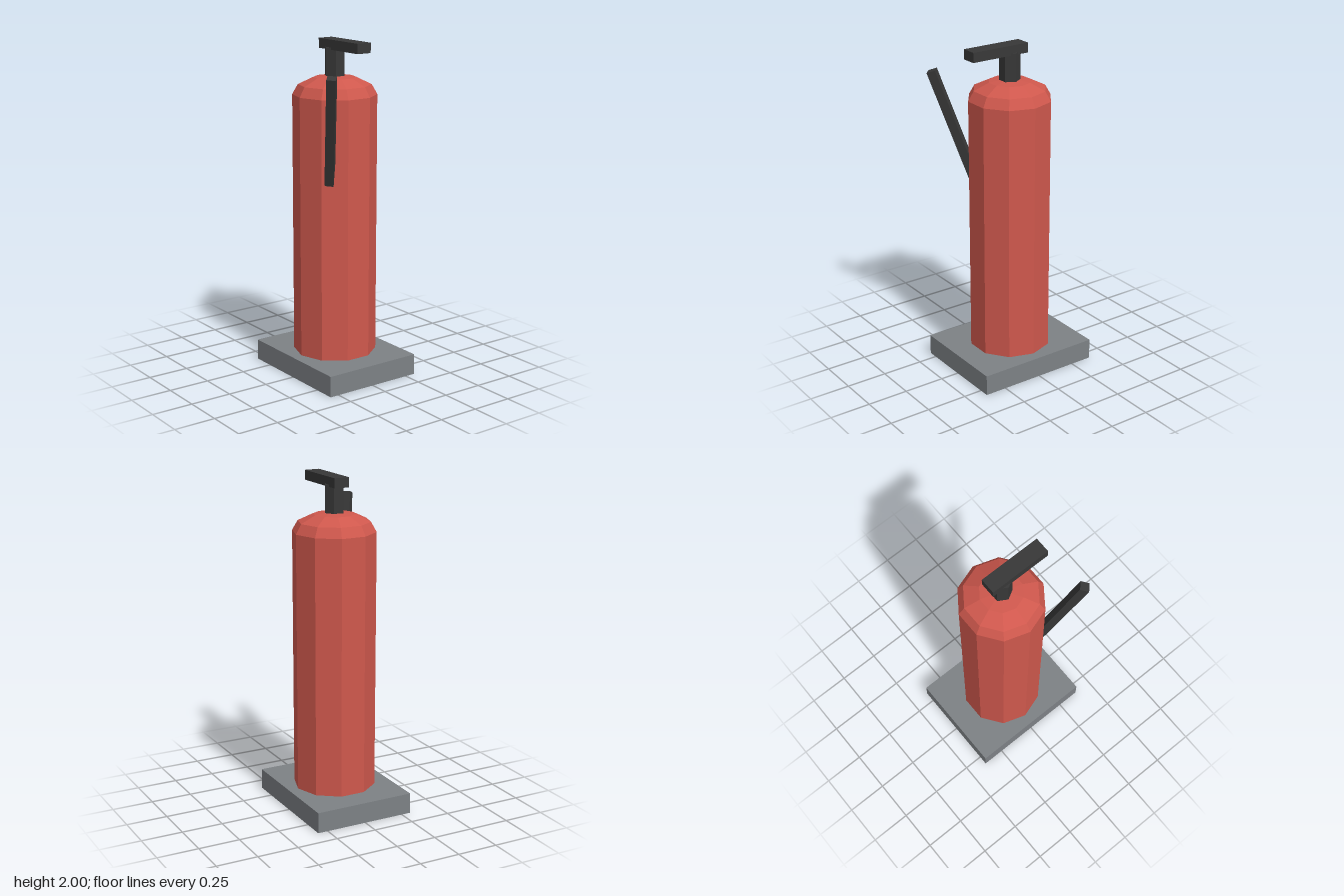
import * as THREE from 'three';

const flat = (name, color) => {
  const m = new THREE.MeshStandardMaterial({ color, flatShading: true });
  m.name = name;
  return m;
};

export function createModel() {
  const red = flat('red', 0xcf584d);
  const grey = flat('grey', 0x7d8185);
  const black = flat('black', 0x383838);

  const model = new THREE.Group();
  model.name = 'fireExtinguisher';
  const add = (name, geometry, material, x, y, z) => {
    const mesh = new THREE.Mesh(geometry, material);
    mesh.name = name;
    mesh.position.set(x, y, z);
    model.add(mesh);
    return mesh;
  };

  // Floor plate
  add('base', new THREE.BoxGeometry(0.77, 0.125, 0.619), grey, 0, 0.0625, -0.003);

  // Ten-sided tank with a flattened dome in three rings
  const R = 0.247, shoulder = 1.68, rise = 0.116;
  const profile = [new THREE.Vector2(0, 0.12), new THREE.Vector2(R, 0.12)];
  for (let i = 0; i <= 3; i++) {
    const a = (i * Math.PI) / 6;
    profile.push(new THREE.Vector2(i === 3 ? 0 : R * Math.cos(a), shoulder + rise * Math.sin(a)));
  }
  add('tank', new THREE.LatheGeometry(profile, 10), red, 0, 0, -0.003);

  // Hexagonal valve neck and lever
  add('valve', new THREE.CylinderGeometry(0.061, 0.061, 0.185, 6), black, 0, 1.862, -0.003);
  add('lever', new THREE.BoxGeometry(0.371, 0.058, 0.093), black, 0.0925, 1.971, -0.003);

  // Four-sided hose leaning out from the tank
  const low = new THREE.Vector3(0.155, 1.193, 0.146);
  const high = new THREE.Vector3(0.349, 1.835, 0.272);
  const axis = high.clone().sub(low);
  const mid = low.clone().add(high).multiplyScalar(0.5);
  const hose = add('hose', new THREE.CylinderGeometry(0.037, 0.037, axis.length(), 4), black, mid.x, mid.y, mid.z);
  hose.quaternion.setFromUnitVectors(new THREE.Vector3(0, 1, 0), axis.normalize());

  return model;
}
